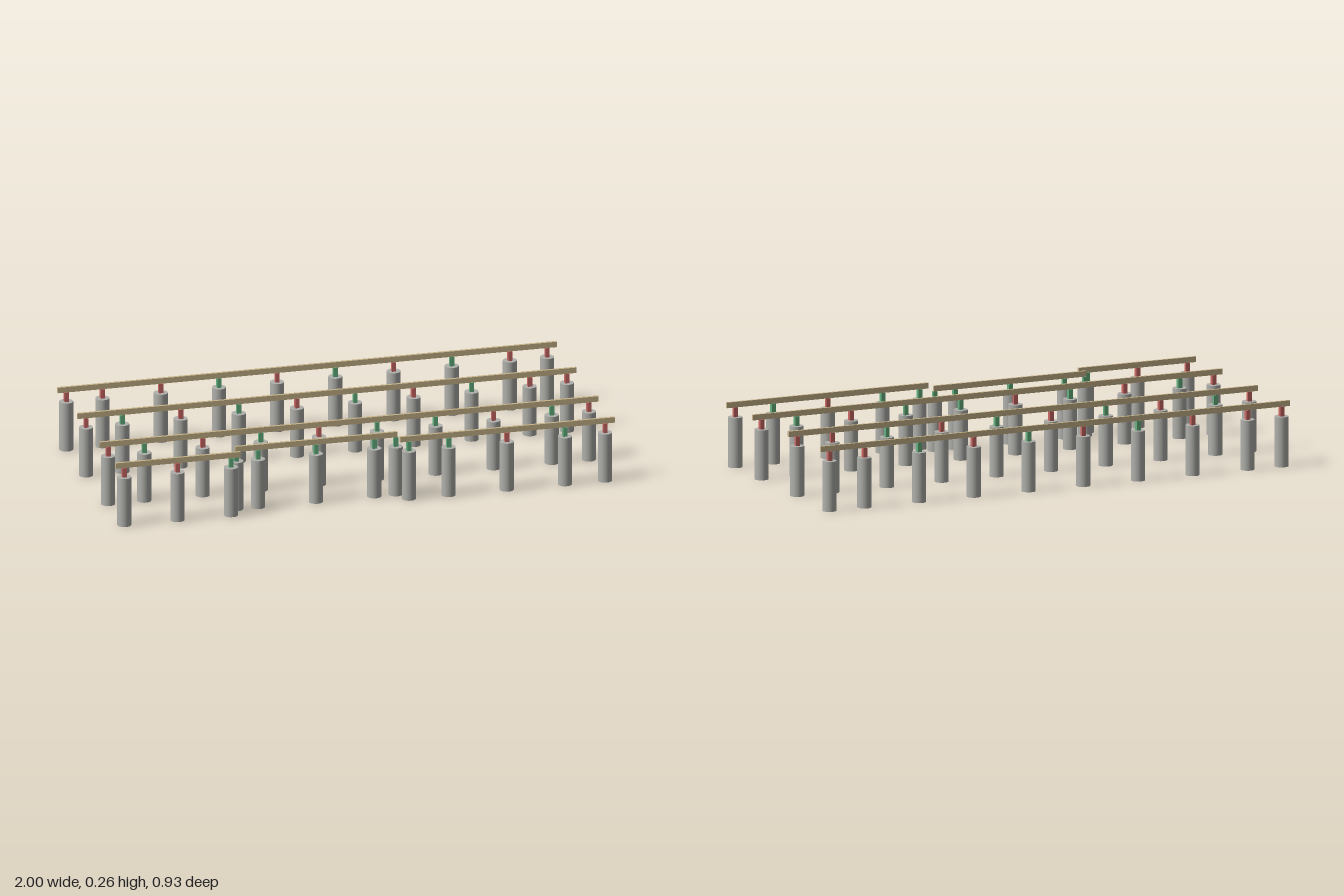
import * as THREE from 'three';

const concrete = new THREE.MeshStandardMaterial({ color: 0xb0b0ac });
concrete.name = 'concrete grey';
const red = new THREE.MeshStandardMaterial({ color: 0xcc6a66 });
red.name = 'support red';
const green = new THREE.MeshStandardMaterial({ color: 0x66b280 });
green.name = 'support green';
const timber = new THREE.MeshStandardMaterial({ color: 0xc8b48a });
timber.name = 'timber tan';

const PIER_H = 0.198, BEAM_BOTTOM = 0.236, BEAM_TOP = 0.258;
const pierGeo = new THREE.CylinderGeometry(0.0275, 0.0275, PIER_H, 32);
const postGeo = new THREE.BoxGeometry(0.017, BEAM_BOTTOM - PIER_H, 0.017);

// One beam from x0 to x1, with a pier and a short post at each x.
// colours holds one letter per pier: r for red, g for green.
function beamLine(name, z, x0, x1, xs, colours) {
  const line = new THREE.Group();
  line.name = name;
  line.position.z = z;

  const beam = new THREE.Mesh(
    new THREE.BoxGeometry(x1 - x0, BEAM_TOP - BEAM_BOTTOM, 0.011), timber);
  beam.name = 'beam';
  beam.position.set((x0 + x1) / 2, (BEAM_BOTTOM + BEAM_TOP) / 2, 0);
  line.add(beam);

  xs.forEach((x, i) => {
    const pier = new THREE.Mesh(pierGeo, concrete);
    pier.name = 'pier';
    pier.position.set(x, PIER_H / 2, 0);
    const post = new THREE.Mesh(postGeo, colours[i] === 'r' ? red : green);
    post.name = 'post';
    post.position.set(x, (PIER_H + BEAM_BOTTOM) / 2, 0);
    line.add(pier, post);
  });
  return line;
}

export function createModel() {
  const model = new THREE.Group();
  model.name = 'foundationFrame';

  // Three full-length lines share the same pier spacing
  const full = [-0.965, -0.82, -0.586, -0.353, -0.12, 0.113, 0.347, 0.58, 0.813, 0.962];
  model.add(
    beamLine('backLine', -0.437, -1, 1, full, 'rrrgrgrgrr'),
    beamLine('middleBackLine', -0.139, -1, 1, full, 'rgrgrgrgrr'),
    beamLine('middleFrontLine', 0.192, -1, 1, full, 'rgrgrggrgr'),
  );

  // Front line, broken by a set-back section
  model.add(
    beamLine('frontRightLine', 0.435, -1, -0.5, [-0.965, -0.752, -0.537], 'rrg'),
    beamLine('frontSetBackLine', 0.375, -0.505, 0.145, [-0.5, -0.413, -0.181, 0.053, 0.139], 'ggggg'),
    beamLine('frontLeftLine', 0.435, 0.14, 1, [0.176, 0.335, 0.568, 0.801, 0.962], 'ggrgr'),
  );
  return model;
}
